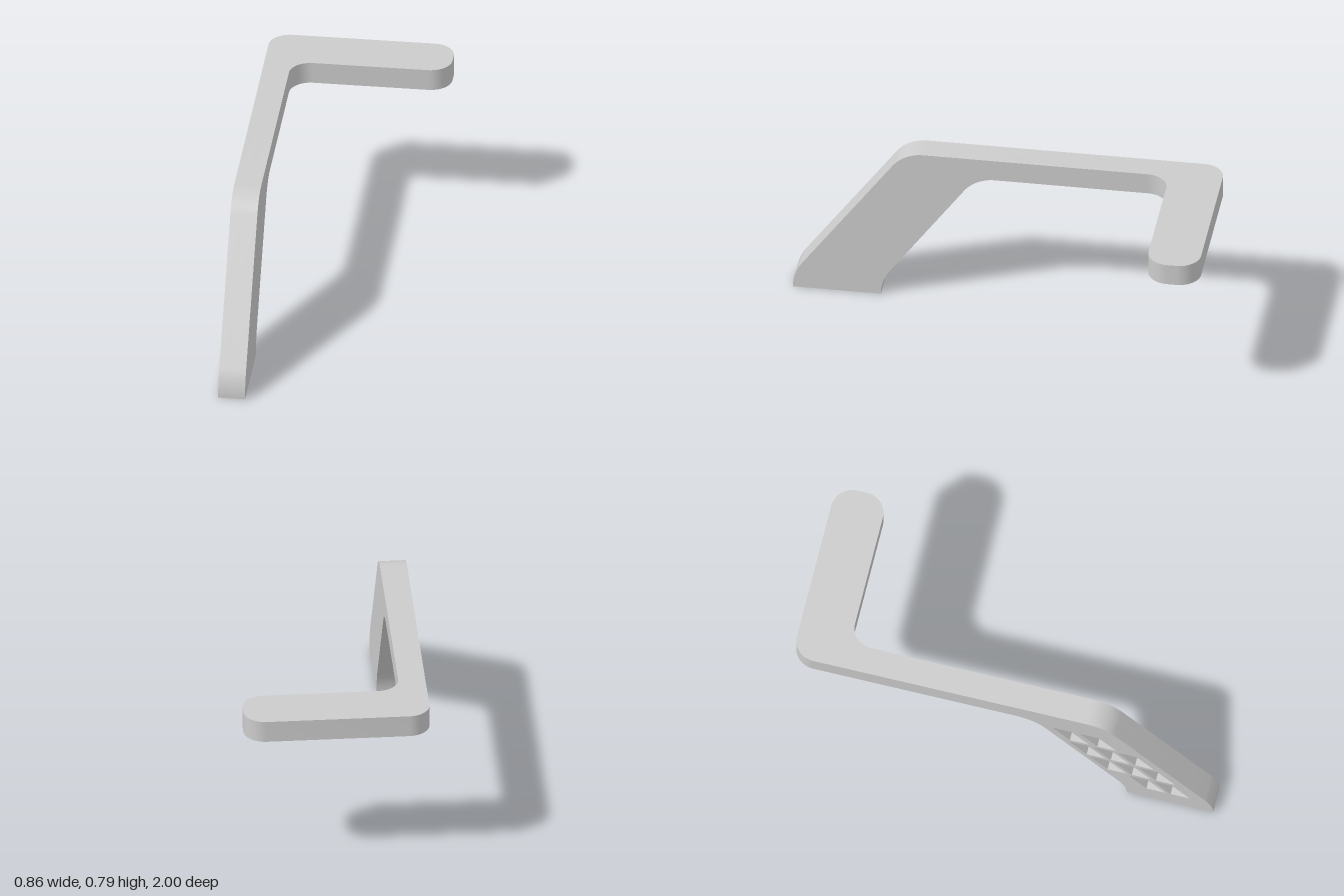
import * as THREE from 'three';
import { toCreasedNormals } from 'three/addons/utils/BufferGeometryUtils.js';

// Closed outline from corners [u, v, radius], rounded with true arcs
function roundedShape(corners) {
  const pts = [];
  const n = corners.length;
  corners.forEach(([u, v, r = 0], i) => {
    const p = new THREE.Vector2(u, v);
    if (!r) { pts.push(p); return; }
    const a = new THREE.Vector2(...corners[(i + n - 1) % n].slice(0, 2)).sub(p).normalize();
    const b = new THREE.Vector2(...corners[(i + 1) % n].slice(0, 2)).sub(p).normalize();
    const half = Math.acos(a.dot(b)) / 2;
    const centre = a.clone().add(b).normalize().multiplyScalar(r / Math.sin(half)).add(p);
    const from = a.multiplyScalar(r / Math.tan(half)).add(p).sub(centre);
    const to = b.multiplyScalar(r / Math.tan(half)).add(p).sub(centre);
    const sweep = Math.atan2(from.cross(to), from.dot(to));
    for (let k = 0; k <= 12; k++) {
      pts.push(from.clone().rotateAround(new THREE.Vector2(), sweep * k / 12).add(centre));
    }
  });
  return new THREE.Shape(pts);
}

function extrude(shape, depth) {
  return new THREE.ExtrudeGeometry(shape, { depth, bevelEnabled: false });
}

export function createModel() {
  const group = new THREE.Group();
  const material = new THREE.MeshStandardMaterial({ color: 0xcccccc });
  const add = (name, geometry) => {
    const mesh = new THREE.Mesh(toCreasedNormals(geometry, 0.5), material);
    mesh.name = name;
    group.add(mesh);
  };

  const xOuter = -0.43, xInner = -0.305, xPocket = -0.375;
  const yTop = 0.785, yUnder = 0.68, zJoin = -0.65;

  // Side profile (z, y): slanted leg running into the level arm
  const profile = () => roundedShape([
    [0.59, 0], [1, 0], [1, 0.075, 0.22], [0.483, yTop, 0.175],
    [zJoin, yTop], [zJoin, yUnder], [0.15, yUnder, 0.175], [0.59, 0.072, 0.22],
  ]);
  const side = (shape, x0, x1) =>
    extrude(shape, x1 - x0).rotateY(-Math.PI / 2).translate(x1, 0, 0);

  // Plain inner layer
  add('legAndArmInner', side(profile(), xPocket, xInner));

  // Outer layer with slanted rows of pockets cut into the leg
  const outer = profile();
  const backEdge = (y) => 0.2 + (0.61 - y) * 0.7245;
  const rows = [
    [0.055, 0.185], [0.035, 0.15, 0.265], [0.035, 0.15, 0.265], [0.12, 0.235],
  ];
  rows.forEach((offsets, i) => {
    const high = 0.635 - i * 0.137, low = high - 0.115;
    for (const o of offsets) {
      const w = 0.09;
      outer.holes.push(new THREE.Path([
        [backEdge(high) + o, high], [backEdge(low) + o, low],
        [backEdge(low) + o + w, low], [backEdge(high) + o + w, high],
      ].map(([z, y]) => new THREE.Vector2(z, y))));
    }
  });
  add('legAndArmPocketed', side(outer, xOuter, xPocket));

  // Cross bar at the back, plan outline (x, z)
  const plan = roundedShape([
    [xOuter, zJoin], [xOuter, -1, 0.1], [0.43, -1, 0.1], [0.43, -0.755, 0.1],
    [xInner, -0.755, 0.1], [xInner, zJoin],
  ]);
  add('crossBar', extrude(plan, yTop - yUnder).rotateX(Math.PI / 2).translate(0, yTop, 0));

  return group;
}
